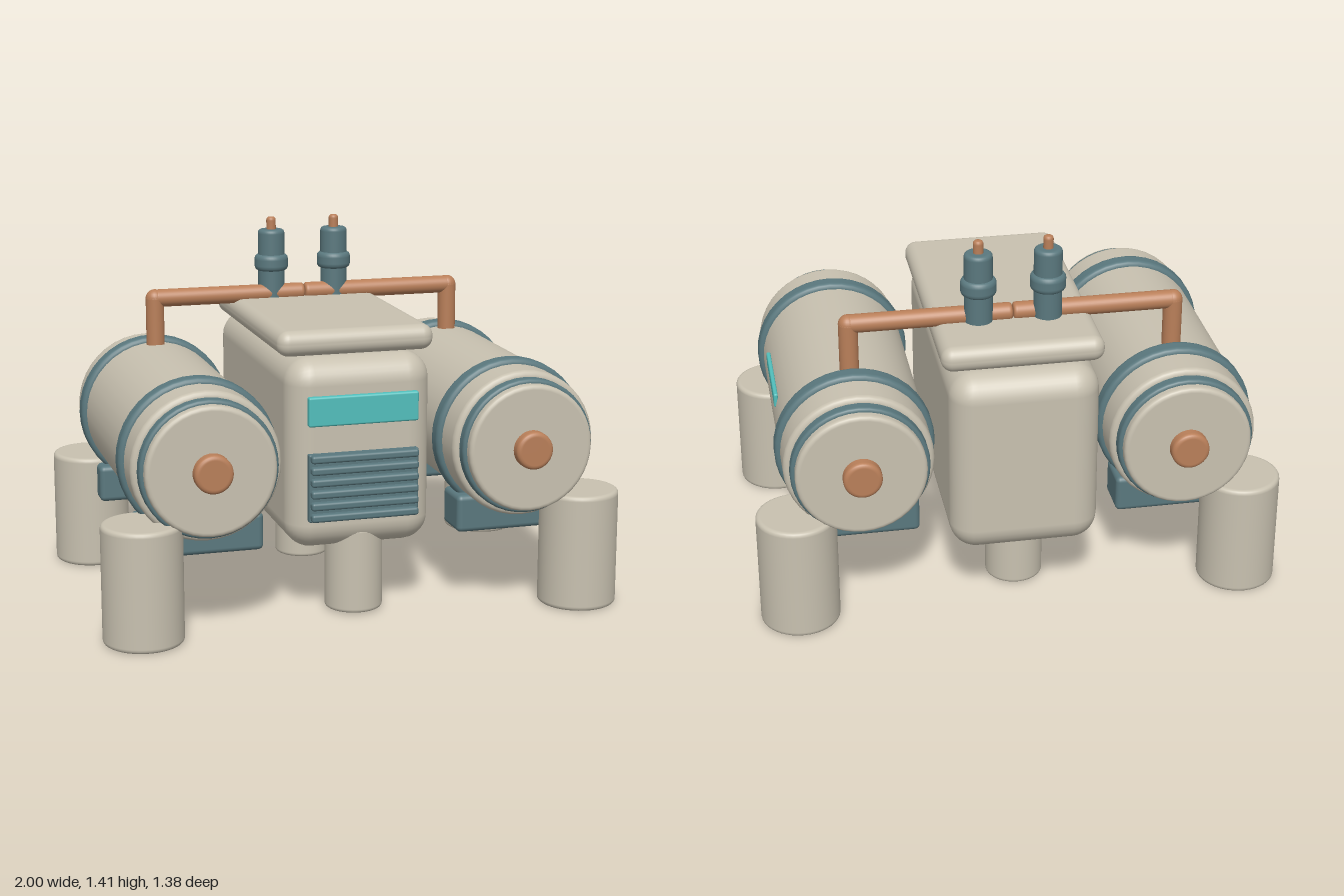
import * as THREE from 'three';
import { RoundedBoxGeometry } from 'three/addons/geometries/RoundedBoxGeometry.js';

const mat = (name, color) => {
  const m = new THREE.MeshStandardMaterial({ color });
  m.name = name;
  return m;
};

export function createModel() {
  const shell = mat('warm grey shell', 0xc8c1b0);
  const steel = mat('slate steel', 0x5a787e);
  const copper = mat('copper', 0xb97f59);
  const glow = mat('turquoise panel', 0x52bfbc);
  const model = new THREE.Group();

  function add(parent, name, geometry, material, x = 0, y = 0, z = 0) {
    const mesh = new THREE.Mesh(geometry, material);
    mesh.name = name;
    mesh.position.set(x, y, z);
    parent.add(mesh);
    return mesh;
  }

  // Upright cylinder with softly rounded rims, centred on its origin
  function softCylinder(r, h, bevel) {
    const half = h / 2, pts = [new THREE.Vector2(0, -half), new THREE.Vector2(r - bevel - 0.003, -half)];
    for (const side of [-1, 1]) {
      if (side === 1) pts.push(new THREE.Vector2(r, half - bevel - 0.003));
      for (let i = 0; i <= 4; i++) {
        const a = side * (side < 0 ? 1 - i / 4 : i / 4) * Math.PI / 2;
        pts.push(new THREE.Vector2(r - bevel + bevel * Math.cos(a), side * (half - bevel) + bevel * Math.sin(a)));
      }
      if (side === -1) pts.push(new THREE.Vector2(r, -half + bevel + 0.003));
    }
    pts.push(new THREE.Vector2(r - bevel - 0.003, half), new THREE.Vector2(0, half));
    return new THREE.LatheGeometry(pts, 40);
  }
  const box = (w, h, d, r) => new RoundedBoxGeometry(w, h, d, 4, r);
  const alongZ = (r, h, bevel) => softCylinder(r, h, bevel).rotateX(Math.PI / 2);

  // Central hull and lid
  add(model, 'hull', box(0.56, 0.73, 1.145, 0.1), shell, 0, 0.635, -0.085);
  add(model, 'lid', box(0.605, 0.097, 1.017, 0.045), shell, 0, 1.048, -0.082);

  // Front display and vent grille
  add(model, 'frontDisplay', box(0.425, 0.112, 0.03, 0.008), glow, 0, 0.81, 0.493);
  const grille = new THREE.Group();
  grille.name = 'ventGrille';
  model.add(grille);
  add(grille, 'grilleBack', box(0.425, 0.26, 0.03, 0.006), steel, 0, 0.52, 0.493);
  for (let i = 0; i < 6; i++) {
    add(grille, 'grilleSlat', box(0.415, 0.03, 0.04, 0.01), steel, 0, 0.41 + i * 0.045, 0.514);
  }

  // Short legs beneath the hull
  for (const z of [-0.37, 0.37]) add(model, 'hullLeg', softCylinder(0.11, 0.33, 0.012), shell, 0, 0.175, z);

  for (const s of [-1, 1]) {
    // Side tank with bands, end caps and knobs
    const tank = new THREE.Group();
    tank.name = s > 0 ? 'leftTank' : 'rightTank';
    tank.position.set(s * 0.61, 0.65, 0);
    model.add(tank);
    add(tank, 'tankBody', alongZ(0.28, 1.13, 0.02), shell);
    add(tank, 'tankWindow', box(0.016, 0.055, 0.36, 0.006), glow, 0.27, 0.087, 0);
    for (const e of [-1, 1]) {
      add(tank, 'tankBand', alongZ(0.3, 0.075, 0.018), steel, 0, 0, e * 0.397);
      add(tank, 'endBand', alongZ(0.258, 0.06, 0.012), steel, 0, 0, e * 0.578);
      add(tank, 'endCap', alongZ(0.243, 0.08, 0.015), shell, 0, 0, e * 0.605);
      add(tank, 'endKnob', alongZ(0.072, 0.08, 0.015), copper, 0, 0, e * 0.648);

      // Corner foot and the bracket that carries the tank
      add(model, 'cornerFoot', softCylinder(0.15, 0.45, 0.015), shell, s * 0.85, 0.23, e * 0.54);
      add(model, 'tankBracket', box(0.47, 0.145, 0.17, 0.02), steel, s * 0.615, 0.367, e * 0.4);
    }

    // Copper pipe from tank to centre
    const pipe = new THREE.Group();
    pipe.name = s > 0 ? 'leftPipe' : 'rightPipe';
    pipe.position.z = -0.33;
    model.add(pipe);
    add(pipe, 'pipeRiser', softCylinder(0.036, 0.25, 0.012), copper, s * 0.612, 1.0, 0);
    add(pipe, 'pipeElbow', new THREE.SphereGeometry(0.036, 24, 16), copper, s * 0.612, 1.112, 0);
    add(pipe, 'pipeRun', softCylinder(0.035, 0.615, 0.012).rotateZ(Math.PI / 2), copper, s * 0.309, 1.112, 0);

    // Stacked terminal on the lid
    const terminal = new THREE.Group();
    terminal.name = s > 0 ? 'leftTerminal' : 'rightTerminal';
    terminal.position.set(s * 0.13, 0, -0.347);
    model.add(terminal);
    add(terminal, 'terminalPost', softCylinder(0.053, 0.29, 0.014), steel, 0, 1.222, 0);
    add(terminal, 'terminalCollar', softCylinder(0.067, 0.066, 0.018), steel, 0, 1.234, 0);
    add(terminal, 'terminalTip', softCylinder(0.019, 0.08, 0.012), copper, 0, 1.376, 0);
  }
  return model;
}
